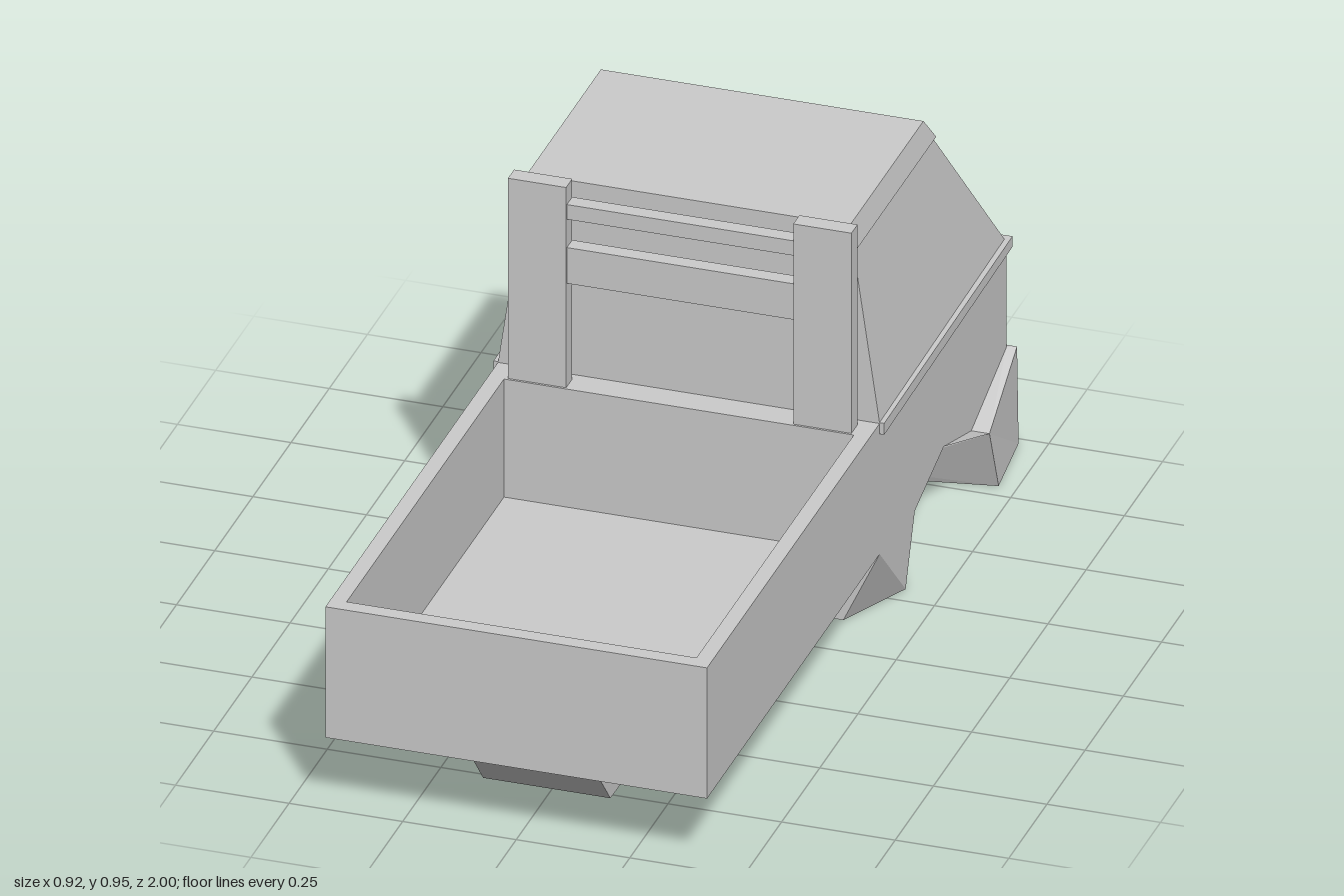
import * as THREE from 'three';

const material = new THREE.MeshStandardMaterial({ color: 0xcccccc, flatShading: true });
const shellMaterial = new THREE.MeshStandardMaterial({ color: 0xcccccc, flatShading: true, side: THREE.DoubleSide });

function add(group, name, geometry, mat = material) {
  const mesh = new THREE.Mesh(geometry, mat);
  mesh.name = name;
  group.add(mesh);
  return mesh;
}

// Box given by its limits
function block(x0, x1, y0, y1, z0, z1) {
  return new THREE.BoxGeometry(x1 - x0, y1 - y0, z1 - z0)
    .translate((x0 + x1) / 2, (y0 + y1) / 2, (z0 + z1) / 2);
}

// Box whose bottom and top rectangles differ: { y, x: half width, z0, z1 }
function taper(bottom, top) {
  const g = new THREE.BoxGeometry(2, 2, 2);
  const p = g.attributes.position;
  for (let i = 0; i < p.count; i++) {
    const r = p.getY(i) < 0 ? bottom : top;
    p.setXYZ(i, p.getX(i) * r.x, r.y, p.getZ(i) < 0 ? r.z0 : r.z1);
  }
  g.computeVertexNormals();
  return g;
}

// Side profile of [z, y] points, extruded from x0 to x1
function sideProfile(points, x0, x1) {
  const shape = new THREE.Shape(points.map(([z, y]) => new THREE.Vector2(z, y)));
  return new THREE.ExtrudeGeometry(shape, { depth: x1 - x0, bevelEnabled: false })
    .rotateY(-Math.PI / 2).translate(x1, 0, 0);
}

// Polygons of one half, fanned into triangles and mirrored across x
function mirroredFaces(polygons) {
  const v = [];
  for (const s of [1, -1]) {
    for (const poly of polygons) {
      for (let i = 1; i < poly.length - 1; i++) {
        const tri = s > 0 ? [poly[0], poly[i], poly[i + 1]] : [poly[0], poly[i + 1], poly[i]];
        for (const [x, y, z] of tri) v.push(x * s, y, z);
      }
    }
  }
  const g = new THREE.BufferGeometry();
  g.setAttribute('position', new THREE.Float32BufferAttribute(v, 3));
  g.computeVertexNormals();
  return g;
}

export function createModel() {
  const model = new THREE.Group();
  model.name = 'truckBody';

  // Side panels with the wheel arch cut out
  const panel = [[1, 0.48], [1, 0.17], [-0.13, 0.17], [-0.3, 0], [-0.36, 0.155], [-0.55, 0.21],
    [-0.73, 0.155], [-0.96, 0.235], [-0.96, 0.48]];
  add(model, 'leftSidePanel', sideProfile(panel, 0.385, 0.42));
  add(model, 'rightSidePanel', sideProfile(panel, -0.42, -0.385));

  // Open load bed
  add(model, 'bedEndWall', block(-0.385, 0.385, 0.17, 0.48, 0.965, 1));
  add(model, 'bedFloor', block(-0.385, 0.385, 0.17, 0.2, -0.13, 0.965));
  add(model, 'cabBase', block(-0.385, 0.385, 0.2, 0.48, -0.96, -0.065));

  // Spine under the bed
  add(model, 'keel', sideProfile([[0.93, 0.17], [0.8, 0.02], [0, 0], [-0.13, 0], [-0.13, 0.17]], -0.14, 0.14));

  // Wheel wells and underbody
  const archOuter = [[0.42, 0, -0.3], [0.42, 0.155, -0.36], [0.42, 0.21, -0.55], [0.46, 0.155, -0.73], [0.46, 0, -0.79]];
  const archInner = [[0.2, 0.025, -0.36], [0.28, 0.155, -0.36], [0.28, 0.19, -0.55], [0.28, 0.155, -0.73], [0.2, 0.025, -0.73]];
  const lipFront = [0.14, 0, -0.36], lipBack = [0.14, 0, -0.73];
  const faces = [
    archInner,
    [lipFront, archInner[0], archInner[4], lipBack],
    [archOuter[0], archInner[0], lipFront],
    [archOuter[4], archInner[4], lipBack],
    [[0, 0.17, -0.13], [0, 0, -0.13], [0.34, 0, -0.13], [0.42, 0.17, -0.13]],
    [[0.42, 0.17, -0.13], [0.34, 0, -0.13], archOuter[0]],
    [[0, 0, -0.13], [0.34, 0, -0.13], archOuter[0], lipFront, [0, 0, -0.36]],
    [[0, 0, -0.36], lipFront, lipBack, [0, 0, -0.73]],
  ];
  for (let i = 0; i < 4; i++) faces.push([archOuter[i], archOuter[i + 1], archInner[i + 1], archInner[i]]);
  add(model, 'underbody', mirroredFaces(faces), shellMaterial);

  // Bowed bumper wrapping round to the arches
  const a = archOuter[3], d = archOuter[4];
  const b = [0.44, 0.235, -0.97], c = [0.44, 0, -0.98];
  const b0 = [0, 0.235, -0.985], c0 = [0, 0, -1];
  const ledge = [0.42, 0.235, -0.96];
  add(model, 'bumper', mirroredFaces([
    [a, b, c, d],
    [b, b0, c0, c],
    [a, b, ledge, [0.42, 0.155, -0.73]],
    [b, b0, [0, 0.235, -0.96], ledge],
    [[0, 0, -0.73], lipBack, d, c, c0],
  ]), shellMaterial);

  // Cab, belt moulding and roof
  add(model, 'beltMoulding', sideProfile([[-0.13, 0.455], [-0.13, 0.482], [-0.97, 0.495], [-0.97, 0.47]], -0.43, 0.43));
  add(model, 'cab', taper({ y: 0.48, x: 0.42, z0: -0.965, z1: -0.13 }, { y: 0.885, x: 0.362, z0: -0.645, z1: -0.13 }));
  add(model, 'roof', taper({ y: 0.882, x: 0.368, z0: -0.655, z1: -0.128 }, { y: 0.94, x: 0.355, z0: -0.61, z1: -0.128 }));

  // Headboard frame between bed and cab
  const headboard = new THREE.Group();
  headboard.name = 'headboard';
  model.add(headboard);
  add(headboard, 'leftPost', block(0.25, 0.378, 0.48, 0.955, -0.11, -0.07));
  add(headboard, 'rightPost', block(-0.378, -0.25, 0.48, 0.955, -0.11, -0.07));
  add(headboard, 'upperRail', block(-0.25, 0.25, 0.877, 0.912, -0.11, -0.075));
  add(headboard, 'lowerRail', block(-0.25, 0.25, 0.725, 0.81, -0.11, -0.075));

  return model;
}
